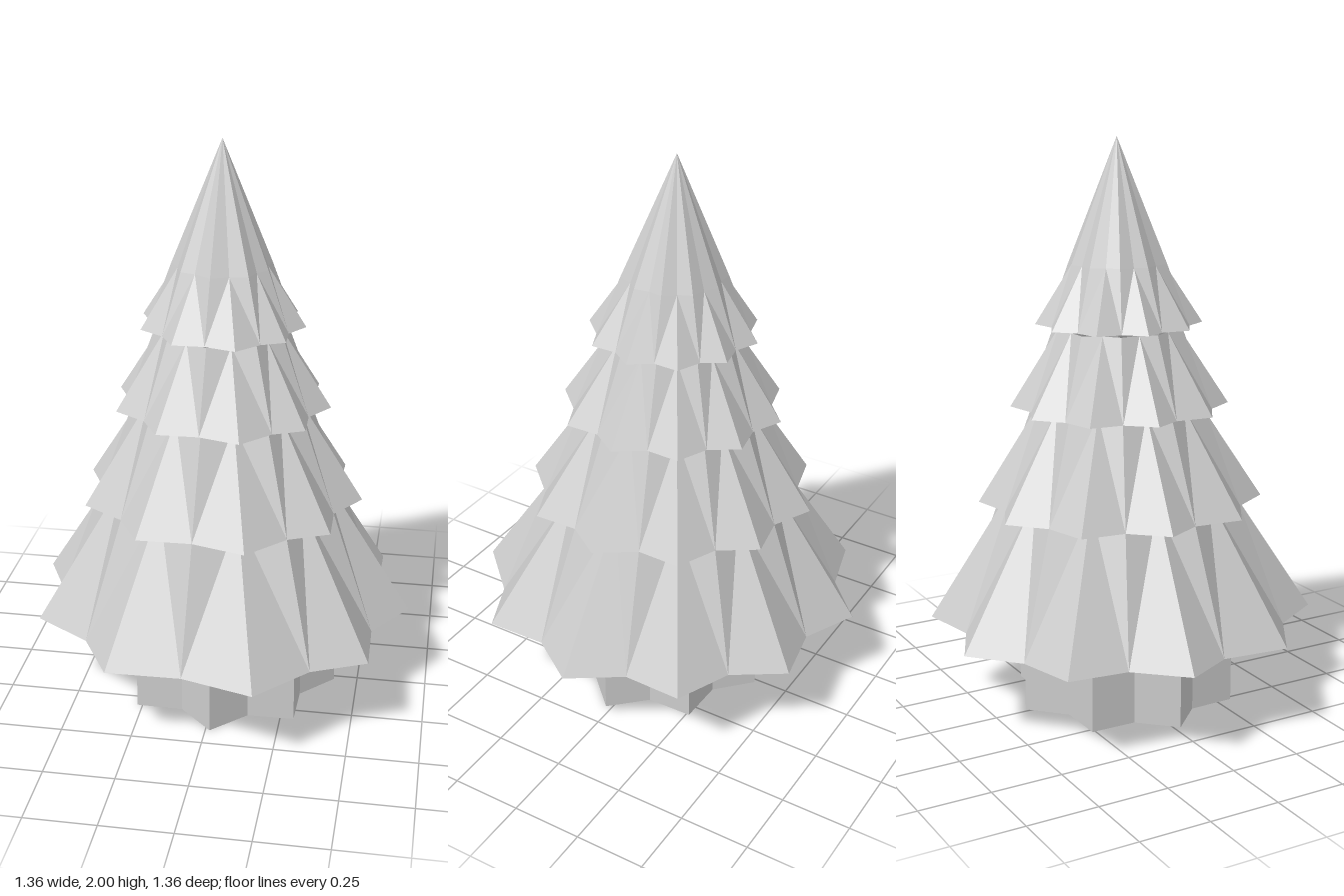
import * as THREE from 'three';

const material = new THREE.MeshStandardMaterial({
  color: 0xcccccc, flatShading: true, side: THREE.DoubleSide,
});

// Hem of the lowest tier as [x, z]: branch tip, notch, branch tip, notch ...
const HEM = [
  [0.675, 0.02], [0.555, 0.195], [0.56, 0.41], [0.37, 0.495],
  [0.2, 0.675], [-0.05, 0.605], [-0.31, 0.61], [-0.42, 0.42],
  [-0.62, 0.295], [-0.595, 0.06], [-0.68, -0.11], [-0.535, -0.27],
  [-0.51, -0.48], [-0.305, -0.535], [-0.15, -0.68], [0.04, -0.59],
  [0.25, -0.63], [0.365, -0.455], [0.56, -0.37], [0.555, -0.16],
];
const AXIS = [-0.01, -0.02]; // the point all tiers shrink towards
const TIP_Y = 2;

// Hem outline scaled about the axis; tips and notches shrink separately
function ring(y, tipScale, notchScale) {
  return HEM.map(([x, z], i) => {
    const s = i % 2 ? notchScale : tipScale;
    return [AXIS[0] + (x - AXIS[0]) * s, y, AXIS[1] + (z - AXIS[1]) * s];
  });
}

function meshFrom(name, positions) {
  const geometry = new THREE.BufferGeometry();
  geometry.setAttribute('position', new THREE.Float32BufferAttribute(positions, 3));
  geometry.computeVertexNormals();
  const mesh = new THREE.Mesh(geometry, material);
  mesh.name = name;
  return mesh;
}

// Open pleated skirt whose branches flare out; the top one closes in a point
function tier(name, y, scale, pointed) {
  const low = ring(y, scale, scale);
  const high = ring(y + 0.49 * scale, scale * 0.54, scale * 0.69);
  const tip = [AXIS[0], TIP_Y, AXIS[1]];
  const out = [];
  low.forEach((a, i) => {
    const j = (i + 1) % low.length;
    const b = low[j], c = high[i], d = high[j];
    // the fold always runs from a notch up to the root of a branch
    if (i % 2 === 0) out.push(...a, ...c, ...b, ...c, ...d, ...b);
    else out.push(...a, ...c, ...d, ...a, ...d, ...b);
    if (pointed) out.push(...c, ...tip, ...d);
  });
  return meshFrom(name, out);
}

// Open eight-pointed star tube
function trunk() {
  const out = [];
  const corner = (i, y) => {
    const r = i % 2 ? 0.31 : 0.4;
    const a = (i * Math.PI) / 8;
    return [0.015 + r * Math.cos(a), y, 0.022 + r * Math.sin(a)];
  };
  for (let i = 0; i < 16; i++) {
    const a = corner(i, 0), b = corner(i + 1, 0);
    const c = corner(i, 0.5), d = corner(i + 1, 0.5);
    out.push(...a, ...c, ...b, ...c, ...d, ...b);
  }
  return meshFrom('trunk', out);
}

export function createModel() {
  const tree = new THREE.Group();
  tree.name = 'tree';
  tree.add(
    trunk(),
    tier('bottomBranches', 0.32, 1, false),
    tier('lowerBranches', 0.74, 0.735, false),
    tier('upperBranches', 1.08, 0.56, false),
    tier('topBranches', 1.367, 0.425, true),
  );
  return tree;
}
